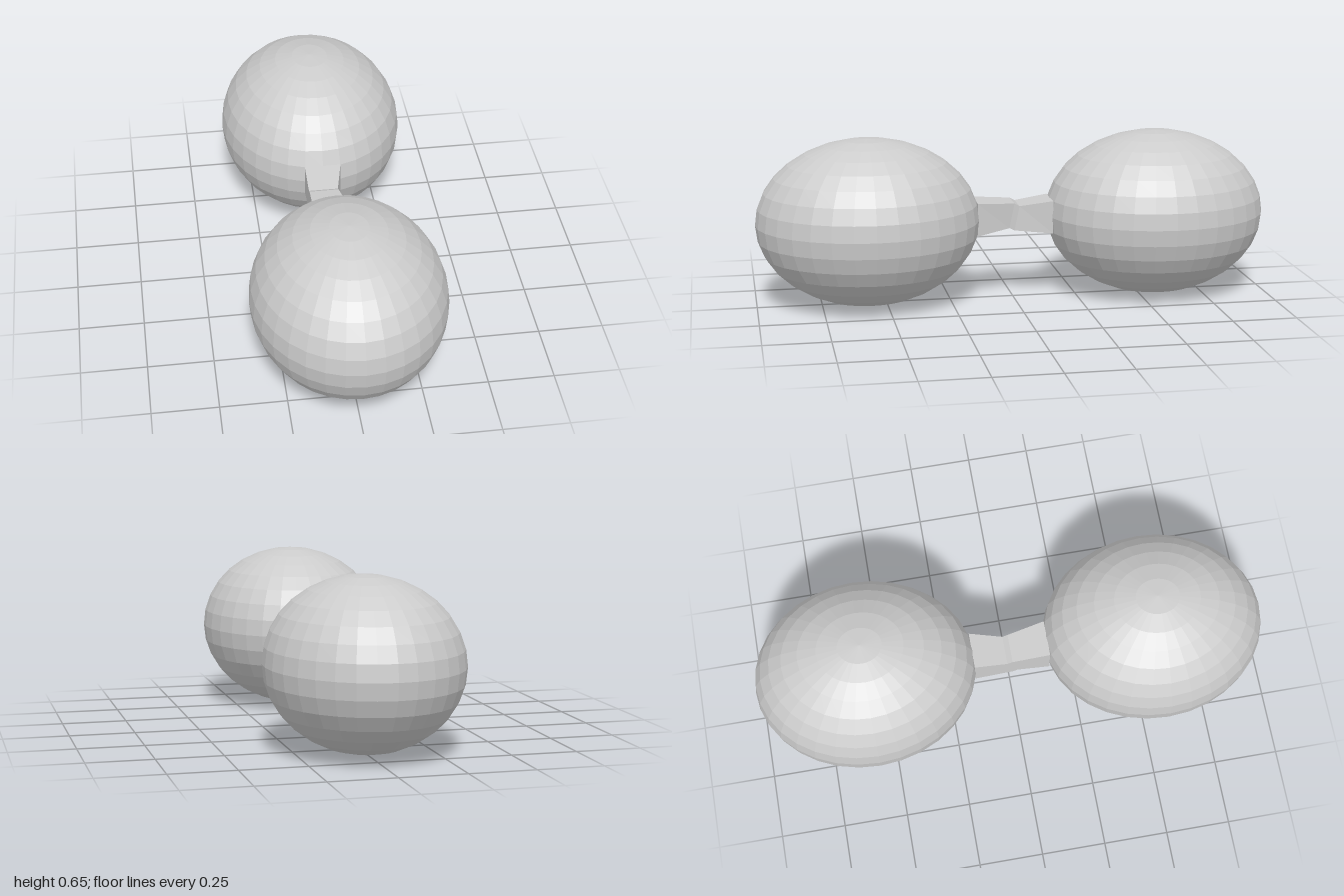
import * as THREE from 'three';

const material = new THREE.MeshStandardMaterial({
  color: 0xcccccc, flatShading: true, side: THREE.DoubleSide,
});

// Skin a row of four-cornered sections, closing both ends.
function loftSections(sections) {
  const positions = sections.flat(2);
  const index = [];
  for (let s = 0; s < sections.length - 1; s++) {
    for (let i = 0; i < 4; i++) {
      const a = s * 4 + i, b = s * 4 + (i + 1) % 4;
      index.push(a, b, b + 4, a, b + 4, a + 4);
    }
  }
  const e = (sections.length - 1) * 4;
  index.push(0, 2, 1, 0, 3, 2, e, e + 1, e + 2, e, e + 2, e + 3);
  const geometry = new THREE.BufferGeometry();
  geometry.setAttribute('position', new THREE.Float32BufferAttribute(positions, 3));
  geometry.setIndex(index);
  const flat = geometry.toNonIndexed();
  flat.computeVertexNormals();
  return flat;
}

// Corners of a section, whose top and bottom edges may sit at different z.
function section(left, right, bottom, top, zBottom, zTop) {
  return [
    [left, bottom, zBottom], [right, bottom, zBottom],
    [right, top, zTop], [left, top, zTop],
  ];
}

export function createModel() {
  const group = new THREE.Group();

  // Two faceted ellipsoid weights
  for (const [name, side] of [['frontWeight', 1], ['backWeight', -1]]) {
    const weight = new THREE.Mesh(new THREE.SphereGeometry(1, 32, 16), material);
    weight.name = name;
    weight.scale.set(0.365, 0.324, 0.431);
    weight.position.set(0, 0.326, side * 0.567);
    group.add(weight);
  }

  // Connecting grip, pinched on one side with a small step in the middle
  const grip = new THREE.Mesh(loftSections([
    section(-0.072, 0.07, 0.264, 0.393, -0.148, -0.148),
    section(-0.072, 0.042, 0.276, 0.372, 0, -0.02),
    section(-0.072, 0.042, 0.286, 0.383, 0.02, 0),
    section(-0.072, 0.07, 0.264, 0.393, 0.148, 0.148),
  ]), material);
  grip.name = 'grip';
  group.add(grip);

  return group;
}
